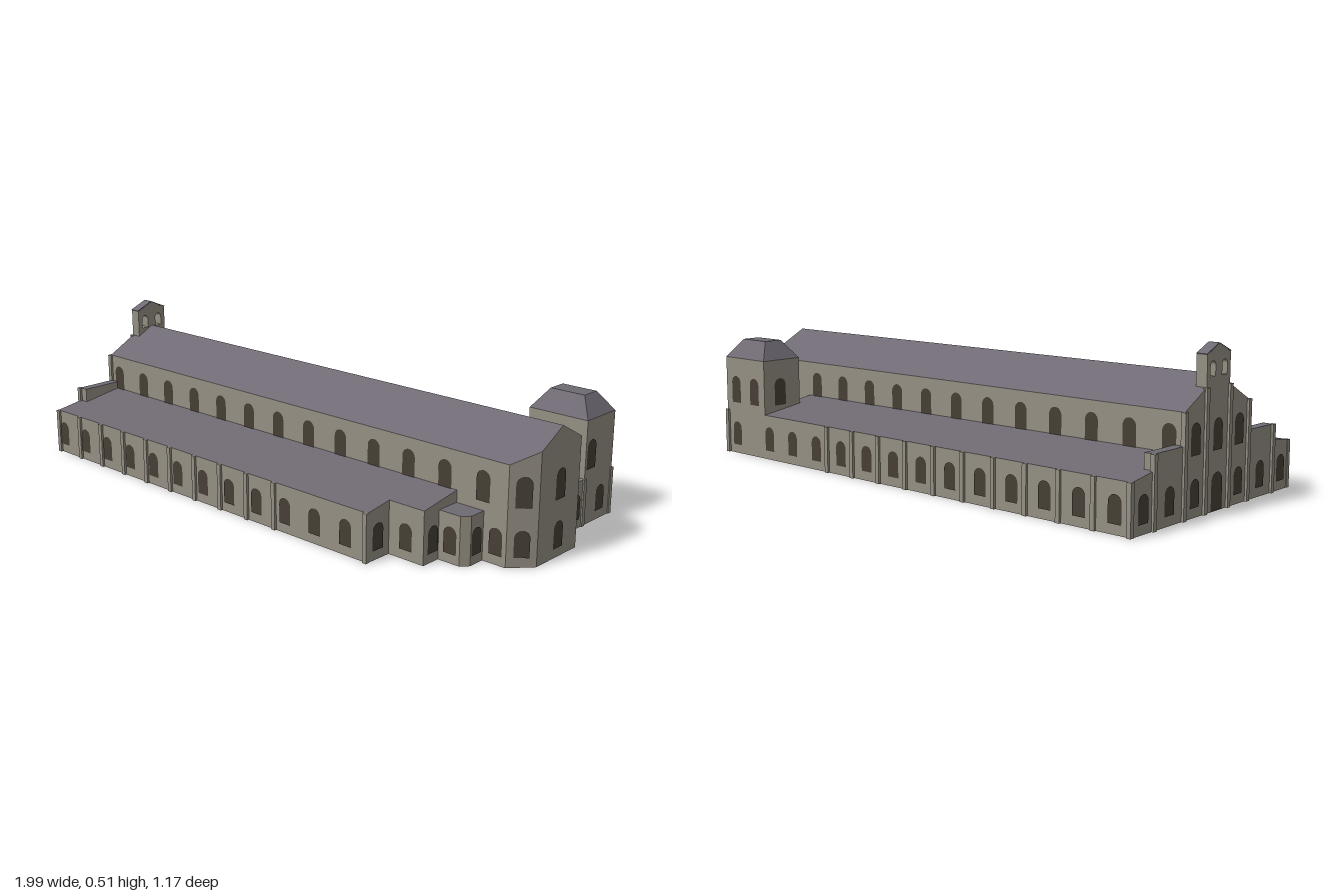
import * as THREE from 'three';

export function createModel() {
  const wall = new THREE.MeshStandardMaterial({ color: 0x969083 });
  wall.name = 'pale stone';
  const roof = new THREE.MeshStandardMaterial({ color: 0x6f6a73 });
  roof.name = 'grey roof';
  const dark = new THREE.MeshStandardMaterial({ color: 0x463f35 });
  dark.name = 'dark opening';

  const church = new THREE.Group();
  church.name = 'church';
  const add = (name, geo, mat) => {
    const m = new THREE.Mesh(geo, mat);
    m.name = name;
    church.add(m);
    return m;
  };

  // Upright block on a footprint of [x, z] corners (front-left first, then front-right, ...)
  // with a top that follows height(x, z); roofs lists convex roof polygons by corner index.
  function mass(name, foot, height, roofs, base = 0) {
    const pos = [];
    const low = foot.map(([x, z]) => [x, base, z]);
    const top = foot.map(([x, z]) => [x, height(x, z), z]);
    const fan = (p) => {
      for (let i = 1; i < p.length - 1; i++) pos.push(...p[0], ...p[i], ...p[i + 1]);
    };
    foot.forEach((_, i) => {
      const j = (i + 1) % foot.length;
      fan([low[i], low[j], top[j], top[i]]);
    });
    fan([...low].reverse());
    const split = pos.length / 3;
    (roofs || [foot.map((_, i) => i)]).forEach((r) => fan(r.map((i) => top[i])));
    const g = new THREE.BufferGeometry();
    g.setAttribute('position', new THREE.Float32BufferAttribute(pos, 3));
    g.computeVertexNormals();
    g.addGroup(0, split, 0);
    g.addGroup(split, pos.length / 3 - split, 1);
    return add(name, g, [wall, roof]);
  }
  const rect = (x0, x1, z0, z1) => [[x0, z1], [x1, z1], [x1, z0], [x0, z0]];

  // Round-headed outline, used for windows and bell openings
  function arch(path, cx, y0, w, h) {
    const r = w / 2;
    path.moveTo(cx - r, y0);
    path.lineTo(cx + r, y0);
    path.lineTo(cx + r, y0 + h - r);
    path.absarc(cx, y0 + h - r, r, 0, Math.PI, false);
    path.lineTo(cx - r, y0);
    return path;
  }
  const lowGeo = new THREE.ShapeGeometry(arch(new THREE.Shape(), 0, 0.032, 0.048, 0.087), 8);
  const highGeo = new THREE.ShapeGeometry(arch(new THREE.Shape(), 0, 0.19, 0.05, 0.098), 8);
  // Window facing the direction turned by angle from +z
  function win(geo, x, z, angle) {
    const o = 0.003;
    const m = add('window', geo, dark);
    m.position.set(x + Math.sin(angle) * o, 0, z + Math.cos(angle) * o);
    m.rotation.y = angle;
  }
  const SOUTH = 0, EAST = Math.PI / 2, NORTH = Math.PI, WEST = -Math.PI / 2;

  const pilaster = (x, z, h = 0.16) => {
    const m = add('pilaster', new THREE.BoxGeometry(0.016, h, 0.016), wall);
    m.position.set(x, h / 2, z);
  };

  const W = -0.932, HALF = 0.175, SIDE = 0.43;

  // Nave with gable roof and chamfered east end
  mass('nave',
    [[W, HALF], [0.932, HALF], [0.995, 0.105], [0.995, 0], [0.995, -0.105], [0.932, -HALF], [W, -HALF], [W, 0]],
    (x, z) => 0.42 - Math.abs(z) * 0.095 / HALF,
    [[0, 1, 2, 3, 7], [3, 4, 5, 6, 7]]);

  // Side aisles under lean-to roofs
  const lean = (x, z) => 0.2 - (Math.abs(z) - HALF) * 0.04 / (SIDE - HALF);
  mass('southAisle', rect(W, 0.61, HALF, SIDE), lean);
  mass('southAisleEnd', rect(0.61, 0.745, HALF, 0.331), lean);
  mass('southChapel', [[0.745, 0.26], [0.825, 0.26], [0.847, 0.235], [0.847, HALF], [0.745, HALF]], () => 0.16);
  mass('northAisle', rect(W, 0.745, -SIDE, -HALF), lean);
  mass('northChapel', rect(0.745, 0.915, -0.268, -HALF), () => 0.16);

  // Tower with truncated hipped roof
  mass('tower', rect(0.695, 0.915, -SIDE, -0.268), () => 0.355);
  const cap = new THREE.BoxGeometry(0.22, 0.065, 0.162).toNonIndexed();
  const cp = cap.attributes.position;
  for (let i = 0; i < cp.count; i++) {
    if (cp.getY(i) > 0) cp.setXYZ(i, cp.getX(i) * 0.58, cp.getY(i), cp.getZ(i) * 0.43);
  }
  cap.computeVertexNormals();
  add('towerRoof', cap, roof).position.set(0.805, 0.3875, -0.349);

  // Parapets over the west ends of the aisles
  mass('southParapet', rect(W, -0.897, HALF, 0.326), () => 0.225, null, 0.15);
  mass('northParapet', rect(W, -0.897, -0.326, -HALF), () => 0.225, null, 0.15);

  // Bell gable with two open arches
  const gable = new THREE.Shape();
  [[-0.064, 0.36], [0.064, 0.36], [0.064, 0.482], [0, 0.51], [-0.064, 0.482]]
    .forEach(([a, b], i) => (i ? gable.lineTo(a, b) : gable.moveTo(a, b)));
  gable.closePath();
  [-0.032, 0.032].forEach((c) => gable.holes.push(arch(new THREE.Path(), c, 0.415, 0.028, 0.047)));
  const bell = add('bellGable',
    new THREE.ExtrudeGeometry(gable, { depth: 0.038, bevelEnabled: false, curveSegments: 6 }), wall);
  bell.rotation.y = WEST;
  bell.position.set(W + 0.038, 0, 0);
  for (const s of [-1, 1]) {
    const slope = add('bellGableRoof', new THREE.BoxGeometry(0.038, 0.004, 0.071), roof);
    slope.position.set(W + 0.019, 0.498, s * 0.033);
    slope.rotation.x = s * Math.atan2(0.028, 0.064);
  }

  // Aisle pilasters and lower windows
  for (let i = 0; i < 10; i++) pilaster(W + 0.005 + i * 0.127, SIDE);
  for (let i = 0; i < 11; i++) pilaster(W + 0.005 + i * 0.128, -SIDE);
  pilaster(0.604, SIDE);
  for (let i = 0; i < 12; i++) win(lowGeo, -0.896 + i * 0.129, SIDE, SOUTH);
  for (let i = 0; i < 13; i++) win(lowGeo, -0.875 + i * 0.1285, -SIDE, NORTH);

  // Clerestory windows on both long sides
  for (let i = 0; i < 13; i++) {
    win(highGeo, -0.88 + i * 0.1436, HALF, SOUTH);
    win(highGeo, -0.88 + i * 0.1436, -HALF, NORTH);
  }

  // East end windows in two storeys
  const turn = Math.atan2(0.063, 0.07);
  for (const geo of [lowGeo, highGeo]) {
    win(geo, 0.995, 0, EAST);
    win(geo, 0.9635, 0.14, turn);
    win(geo, 0.9635, -0.14, Math.PI - turn);
  }
  win(lowGeo, 0.895, HALF, SOUTH);
  win(lowGeo, 0.61, 0.385, EAST);
  win(lowGeo, 0.678, 0.331, SOUTH);
  win(lowGeo, 0.745, 0.29, EAST);
  win(lowGeo, 0.79, 0.26, SOUTH);
  win(lowGeo, 0.847, 0.21, EAST);
  win(lowGeo, 0.915, -0.222, EAST);

  // Tower windows and corner pilasters
  win(lowGeo, 0.915, -0.362, EAST);
  win(highGeo, 0.915, -0.297, EAST);
  win(highGeo, 0.75, -0.268, SOUTH);
  for (const x of [0.75, 0.855]) win(highGeo, x, -SIDE, NORTH);
  win(lowGeo, 0.855, -SIDE, NORTH);
  win(highGeo, 0.695, -0.36, WEST);
  pilaster(0.91, -SIDE);
  pilaster(0.912, -0.268);

  // West front
  for (const s of [-1, 1]) {
    pilaster(W, s * 0.326, 0.225);
    pilaster(W, s * HALF, 0.325);
    pilaster(W, s * 0.064, 0.385);
    win(lowGeo, W, s * 0.378, WEST);
    win(lowGeo, W, s * 0.25, WEST);
    win(lowGeo, W, s * 0.12, WEST);
    win(highGeo, W, s * 0.12, WEST);
  }
  win(highGeo, W, 0, WEST);
  const door = new THREE.ShapeGeometry(arch(new THREE.Shape(), 0, 0.002, 0.06, 0.12), 8);
  win(door, W, 0, WEST);

  // The building stands turned on its site
  church.rotation.y = THREE.MathUtils.degToRad(9.5);
  const model = new THREE.Group();
  model.name = 'basilica';
  model.add(church);
  return model;
}
